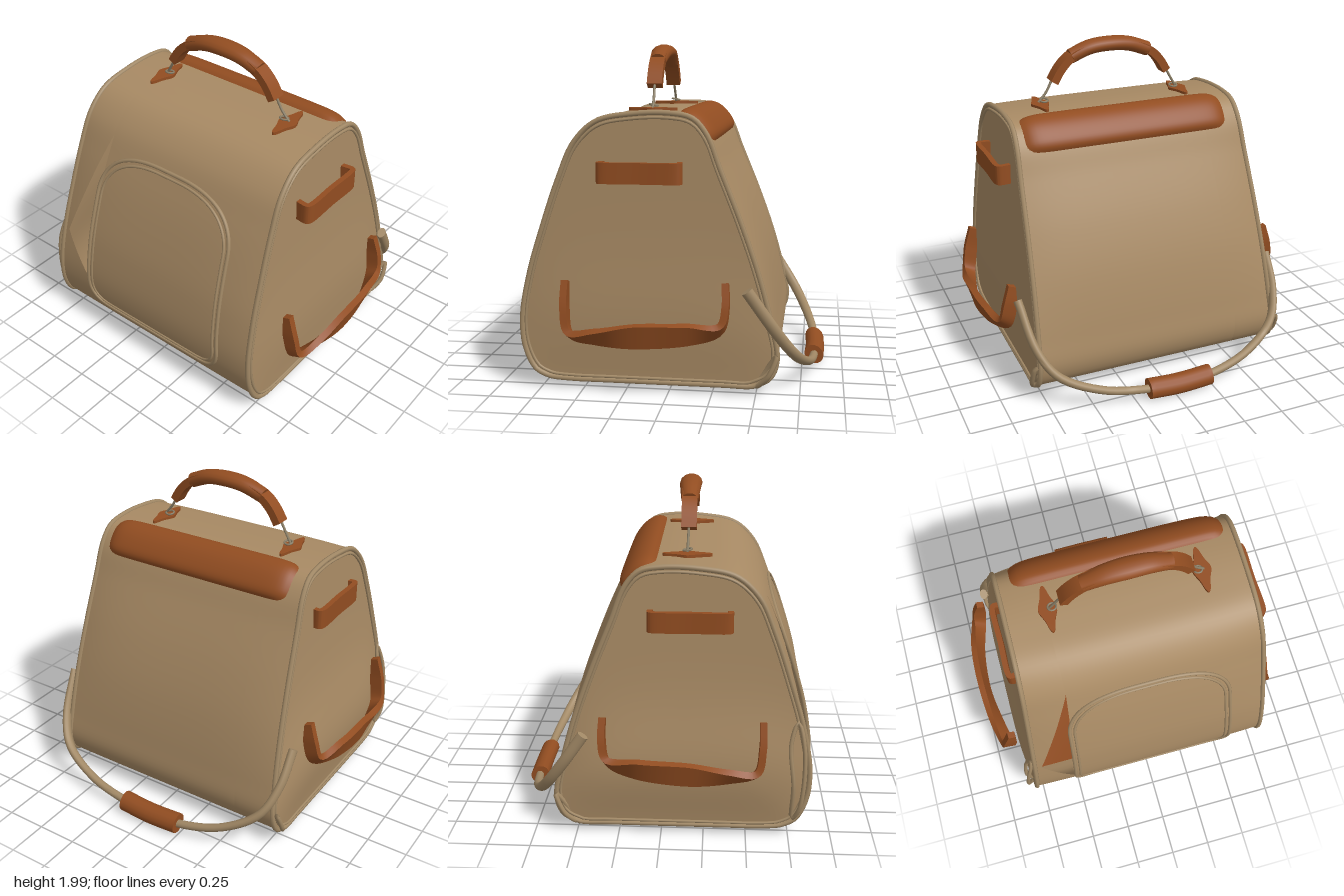
import * as THREE from 'three';
import { toCreasedNormals } from 'three/addons/utils/BufferGeometryUtils.js';
import { ParametricGeometry } from 'three/addons/geometries/ParametricGeometry.js';

const V = (x, y, z) => new THREE.Vector3(x, y, z);
const lerp = THREE.MathUtils.lerp;
const clamp = THREE.MathUtils.clamp;

// Side profile of the bag as [z, y], from the front foot over the top to the back foot
const profile = new THREE.CatmullRomCurve3([
  [0.70, 0.07], [0.785, 0.11], [0.85, 0.24], [0.865, 0.42], [0.82, 0.68], [0.74, 0.95], [0.64, 1.24],
  [0.55, 1.44], [0.42, 1.56], [0.22, 1.602], [0, 1.608], [-0.13, 1.58], [-0.21, 1.49], [-0.285, 1.30],
  [-0.405, 1.0], [-0.51, 0.7], [-0.59, 0.4], [-0.62, 0.22], [-0.58, 0.11], [-0.48, 0.06],
].map(([z, y]) => V(0, y, z)));
const N = 200;
const samples = profile.getSpacedPoints(N);

// Fraction along the profile where f first turns positive
function tWhere(f) {
  const i = Math.max(1, samples.findIndex((p) => f(p) > 0));
  const a = f(samples[i - 1]), b = f(samples[i]);
  return (i - 1 + clamp(-a / (b - a), 0, 1)) / N;
}
const tFront = (y) => tWhere((p) => p.y - y);

// Left-hand and right-hand edges of the tapered bag
const edge = (side, y) => (side < 0 ? -0.80 + 0.065 * y : 0.785 - 0.027 * y);

// Point on the skin, whose front and back walls belly out, lifted outwards by off
function skin(x, t, off = 0) {
  t = clamp(t, 0, 1);
  const p = profile.getPointAt(t), d = profile.getTangentAt(t);
  const a = edge(-1, p.y), b = edge(1, p.y);
  const u = (2 * x - a - b) / (b - a);
  const lift = off + 0.038 * (1 - u ** 4) * Math.sin(2 * Math.PI * t) ** 2;
  return V(x, p.y - d.z * lift, p.z + d.y * lift);
}

function surface(fn, nu, nv, crease = 0.9) {
  const g = new ParametricGeometry((u, v, out) => out.copy(fn(u, v)), nu, nv);
  g.computeVertexNormals();
  return toCreasedNormals(g, crease);
}

// Strap swept through points; widths are half-width vectors, flat or round in section
function strap(points, widths, thick, round = false, n = 32) {
  const path = new THREE.CatmullRomCurve3(points), wide = new THREE.CatmullRomCurve3(widths);
  return surface((u, v) => {
    const k = v * n, t = clamp((k - 1) / (n - 2), 0, 1);
    const size = k < 0.5 || k > n - 0.5 ? 0 : round ? 1 : Math.SQRT2;
    const a = u * Math.PI * 2 + (round ? 0 : Math.PI / 4);
    const w = wide.getPoint(t), nrm = path.getTangent(t).cross(w).normalize();
    return path.getPoint(t).addScaledVector(w, Math.cos(a) * size)
      .addScaledVector(nrm, Math.sin(a) * size * thick / 2);
  }, round ? 14 : 4, n, 0.7);
}

const tube = (pts, r, closed = false, seg = 40) =>
  new THREE.TubeGeometry(new THREE.CatmullRomCurve3(pts, closed), seg, r, 7, closed);

// Door outline, inset by d
function doorOutline(d) {
  const l = -0.51 + d, r = 0.55 - d, b = 0.245 + d, t = 1.325 - d, q = 0.17 - d, Q = 0.36 - d;
  const s = new THREE.Shape();
  s.moveTo(l + q, b);
  s.lineTo(r - q, b);
  s.quadraticCurveTo(r, b, r, b + q);
  s.lineTo(r - 0.02, t - Q * 0.8);
  s.bezierCurveTo(r - 0.03, t - 0.1, r - 0.17, t, r - Q - 0.1, t);
  s.lineTo(l + Q + 0.1, t);
  s.bezierCurveTo(l + 0.17, t, l + 0.03, t - 0.1, l + 0.02, t - Q * 0.8);
  s.lineTo(l, b + q);
  s.quadraticCurveTo(l, b, l + q, b);
  return s.getSpacedPoints(90).slice(0, 90);
}

export function createModel() {
  const bag = new THREE.Group();
  bag.name = 'carrierBag';
  const mat = (name, color) => {
    const m = new THREE.MeshStandardMaterial({ color, side: THREE.DoubleSide });
    m.name = name;
    return m;
  };
  const canvas = mat('tanCanvas', 0xa88a64);
  const trim = mat('tanPiping', 0xa28966);
  const leather = mat('brownLeather', 0x924d21);
  const metal = mat('dullMetal', 0x8c8068);
  const add = (name, geo, m) => {
    const mesh = new THREE.Mesh(geo, m);
    mesh.name = name;
    bag.add(mesh);
    return mesh;
  };

  // Wrapping skin in two strips, parted by a triangular opening beside the door
  const gap = (t, right) => {
    const y = profile.getPointAt(t).y;
    const b = lerp(-0.52, -0.46, clamp((y - 0.42) / 0.97, 0, 1));
    if (right || t > 0.5 || y < 0.42 || y > 1.39) return b;
    return y < 0.68 ? lerp(-0.52, -0.715, (y - 0.42) / 0.26) : lerp(-0.715, -0.46, (y - 0.68) / 0.71);
  };
  [-1, 1].forEach((side) => {
    add(side < 0 ? 'skinNarrowStrip' : 'skinWideStrip', surface((u, v) => {
      const t = clamp(v, 0, 1), y = profile.getPointAt(t).y;
      const a = side < 0 ? edge(-1, y) : gap(t, true);
      const b = side < 0 ? gap(t, false) : edge(1, y);
      return skin(lerp(a, b, u), t);
    }, side < 0 ? 8 : 24, 120), canvas);
  });

  // Sagging base
  add('base', surface((u, v) => {
    const a = 2 * u - 1, b = 2 * v - 1;
    return V(lerp(-0.795, 0.783, u), lerp(0.06, 0.07, v) - 0.057 * (1 - a ** 4) * (1 - b * b),
      lerp(-0.48, 0.70, v));
  }, 20, 16), leather);

  // Side panels (the -x one bellies out low down), edge piping, corner knots
  const loop = profile.getSpacedPoints(90);
  for (let i = 1; i < 8; i++) loop.push(V(0, 0.06, lerp(-0.48, 0.70, i / 8)));
  [-1, 1].forEach((side) => {
    const n = loop.length, belly = side < 0 ? 0.06 : 0.02;
    add('sidePanel', surface((u, v) => {
      const p = loop[Math.round(clamp(u, 0, 1) * n) % n];
      const y = lerp(0.75, p.y, v), z = lerp(0.14, p.z, v);
      const low = Math.exp(-(((y - 0.4) / 0.35) ** 2));
      return V(edge(side, y) + side * belly * low * (1 - v ** 4), y, z);
    }, n, 12), canvas);
    const rim = loop.map((p) => V(edge(side, p.y), p.y, p.z));
    add('edgePiping', tube(rim, 0.016, true, 160), trim);
    add('innerPiping', tube(rim.map((p) => V(p.x + side * 0.006,
      lerp(0.75, p.y, 0.967), lerp(0.14, p.z, 0.967))), 0.009, true, 160), trim);
    const e = edge(side, 0.2);
    add('backCornerLoop', tube([V(e, 0.06, -0.5), V(e + side * 0.04, 0.13, -0.57),
      V(e + side * 0.03, 0.25, -0.62), V(e, 0.16, -0.56)], 0.015, true), trim);
  });
  add('frontCornerLoop', tube([V(-0.77, 0.72, 0.79), V(-0.81, 0.55, 0.83), V(-0.83, 0.2, 0.81),
    V(-0.80, 0.12, 0.77), V(-0.83, 0.35, 0.77), V(-0.80, 0.6, 0.75)], 0.013, true), trim);

  // Front door: thin panel and double piping
  const outline = doorOutline(0.008);
  add('doorPanel', surface((u, v) => {
    const p = outline[Math.round(clamp(u, 0, 1) * 90) % 90];
    return skin(lerp(0.02, p.x, v), tFront(lerp(0.78, p.y, v)), 0.004);
  }, 90, 14), canvas);
  [[0, 0.012], [0.03, 0.009]].forEach(([d, r]) =>
    add('doorPiping', tube(doorOutline(d).map((p) => skin(p.x, tFront(p.y), 0.004)), r, true, 180), trim));

  // Rolled leather flap over the back of the top
  const t0 = tWhere((p) => -0.035 - p.z), t1 = tWhere((p) => -0.235 - p.z);
  add('backFlap', surface((u, v) => {
    const a = 2 * u - 1, b = 2 * v - 1;
    const half = 0.655 - 0.06 * Math.abs(b) ** 6;
    const puff = (1 - Math.abs(a) ** 16) * (1 - Math.abs(b) ** 6);
    return skin(0.04 + half * a, lerp(t0, t1, v), -0.004 + 0.036 * puff);
  }, 48, 20), leather);

  // Top handle: flat strap, padded tapering grip, wire links and mounting plates
  const arch = [[-0.35, 1.75], [-0.30, 1.83], [-0.23, 1.895], [-0.1, 1.94], [0.03, 1.952],
    [0.16, 1.94], [0.28, 1.895], [0.35, 1.83], [0.40, 1.75]].map(([x, y]) => V(x, y, 0.14));
  add('handleStrap', strap(arch, arch.map(() => V(0, 0, 0.045)), 0.05), leather);
  const grip = arch.slice(2, 7);
  add('handleGrip', strap(grip, [0.05, 0.062, 0.068, 0.062, 0.05].map((w) => V(0, 0, w)), 0.09, true), leather);
  const plate = new THREE.Shape(Array.from({ length: 48 }, (_, i) => {
    const a = i / 24 * Math.PI, c = Math.cos(a), s = Math.sin(a);
    return new THREE.Vector2(0.03 * c + Math.sign(c) * 0.026 * Math.exp(-((s / 0.35) ** 2)), 0.145 * s);
  }));
  [[-0.44, -0.35], [0.485, 0.40]].forEach(([x, top]) => {
    const p = add('handlePlate', new THREE.ExtrudeGeometry(plate, { depth: 0.018, bevelEnabled: false }), leather);
    p.rotation.x = -Math.PI / 2;
    p.position.set(x, 1.608, 0.135);
    add('handleLink', tube([V(x + 0.01, 1.63, 0.135), V(lerp(x, top, 0.5), 1.69, 0.137), V(top, 1.77, 0.14)], 0.008), metal);
    const ring = add('handleRing', new THREE.TorusGeometry(0.025, 0.006, 6, 20), metal);
    ring.rotation.x = Math.PI / 2 - 0.2;
    ring.position.set(lerp(x, top, 0.3), 1.64, 0.135);
  });

  // Side straps: a small loop above and a hanging, twisted band below
  [[-1, -0.695, -0.755, 1.305, 0.09], [1, 0.745, 0.825, 1.275, 0]].forEach(([side, xin, xout, y, drop]) => {
    const pts = [[xin, 0.385], [xout - side * 0.01, 0.39], [xout, 0.375], [xout, 0.16],
      [xout, -0.05], [xout - side * 0.01, -0.065], [xin, -0.06]].map(([x, z]) => V(x, y, z));
    add('upperSideLoop', strap(pts, pts.map(() => V(0, 0.06, 0)), 0.032, false, 60), leather);

    const low = [[0.85, 0.66, 0.585], [0.875, 0.50, 0.585], [0.90, 0.365, 0.555], [0.935, 0.36, 0.40],
      [0.962, 0.38, 0.14], [0.945, 0.395, -0.12], [0.895, 0.42, -0.305], [0.87, 0.54, -0.335],
      [0.85, 0.67, -0.33]].map(([x, yy, z]) => V(side * x, yy + drop, z));
    const w = [[0.022, 0.008], [0.04, 0.01], [0.036, 0.016], [0.028, 0.04], [0.016, 0.068],
      [0.022, 0.06], [0.036, 0.025], [0.04, 0.01], [0.022, 0.008]].map(([a, b]) => V(side * a, b, 0));
    add('lowerSideStrap', strap(low, w, 0.04, false, 48), leather);
  });

  // Shoulder strap drooping behind the bag, with a leather grip
  const cord = [[-0.815, -0.45], [-0.805, -0.58], [-0.735, -0.69], [-0.52, -0.78], [-0.24, -0.825],
    [-0.03, -0.83], [0.17, -0.825], [0.45, -0.795], [0.70, -0.72], [0.80, -0.62], [0.85, -0.45]]
    .map(([x, z]) => V(x, 0.645 + (z + 0.44) * 1.48, z));
  add('shoulderStrap', strap(cord, cord.map((p, i) => {
    const d = cord[Math.min(i + 1, 10)].clone().sub(cord[Math.max(i - 1, 0)]);
    return V(0, 1, 0.68).cross(d).normalize().multiplyScalar(0.022 + 0.015 * Math.abs(p.x));
  }), 0.05, true, 60), trim);
  const hold = cord.slice(4, 7);
  add('shoulderGrip', strap(hold, hold.map(() => V(0, 0.045, 0.045)), 0.11, true, 16), leather);

  return bag;
}
